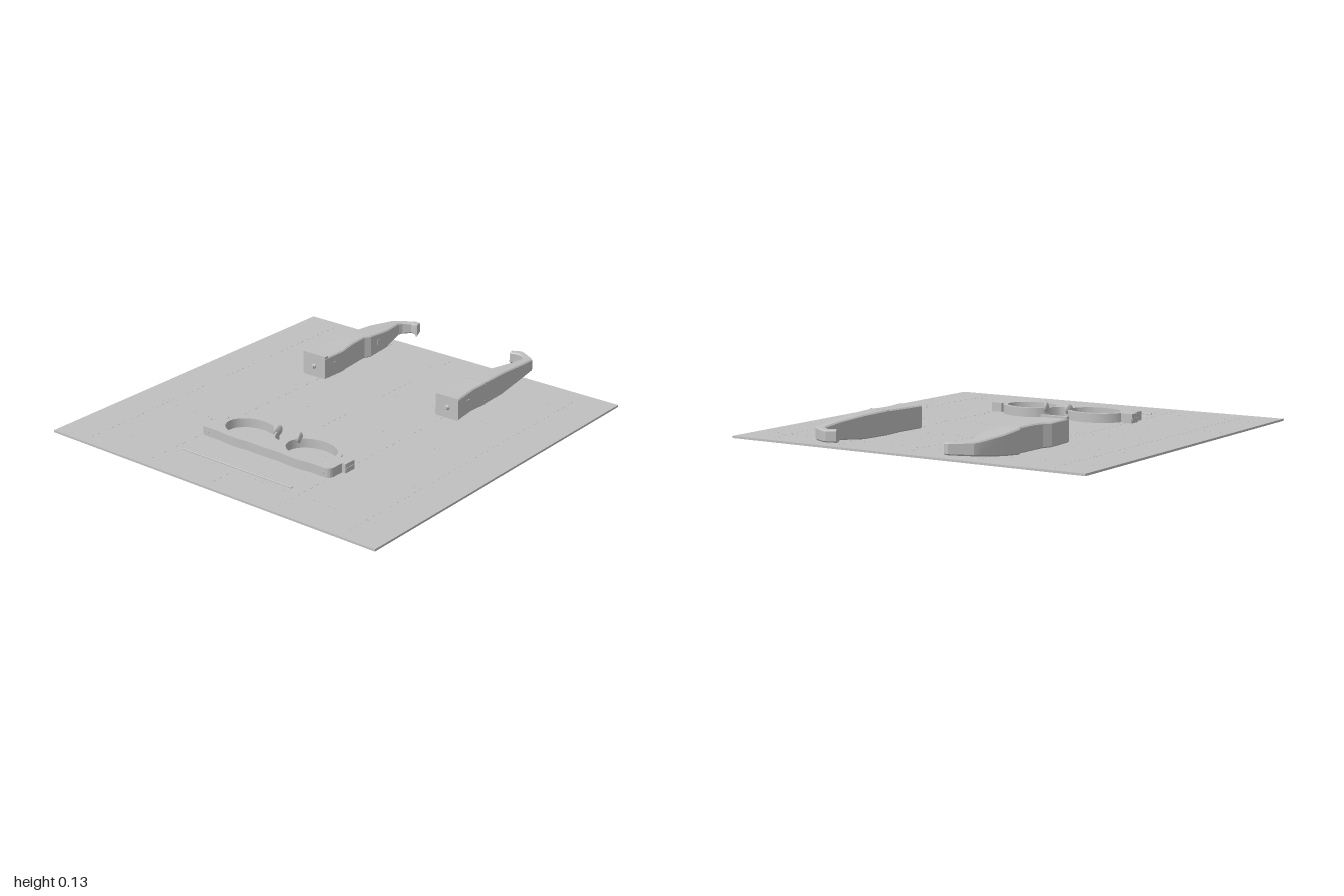
import * as THREE from 'three';
import { mergeGeometries, toCreasedNormals } from 'three/addons/utils/BufferGeometryUtils.js';

const grey = new THREE.MeshStandardMaterial({ color: 0xc0c0c0 });
grey.name = 'plain grey';

function add(parent, name, geometry, x = 0, y = 0, z = 0) {
  const mesh = new THREE.Mesh(geometry, grey);
  mesh.name = name;
  mesh.position.set(x, y, z);
  parent.add(mesh);
  return mesh;
}

// Height of the temple's lower and upper edge along its length: [z, bottom, top]
const heights = [
  [-0.25, 0.015, 0.125], [-0.31, 0.013, 0.132], [-0.41, 0.012, 0.124], [-0.48, 0.011, 0.129],
  [-0.63, 0.011, 0.128], [-0.7, 0.014, 0.122], [-0.93, 0.04, 0.102], [-1, 0.047, 0.099],
];
function heightAt(z) {
  let i = 0;
  while (i < heights.length - 2 && z < heights[i + 1][0]) i++;
  const [a, b] = [heights[i], heights[i + 1]];
  const t = THREE.MathUtils.clamp((z - a[0]) / (b[0] - a[0]), 0, 1);
  return [a[1] + t * (b[1] - a[1]), a[2] + t * (b[2] - a[2])];
}

// Chamfered box sections joined from the hinge end to the ear hook.
// Each station is the low-x edge and the high-x edge: [x, z, x, z]
function templeGeometry(stations) {
  const pos = [], index = [], n = 8;
  for (const [x0, z0, x1, z1] of stations) {
    const [lo, hi] = heightAt((z0 + z1) / 2);
    const c = 0.006, u = Math.min(0.2, c / Math.hypot(x1 - x0, z1 - z0));
    const ring = [[u, lo], [1 - u, lo], [1, lo + c], [1, hi - c], [1 - u, hi], [u, hi], [0, hi - c], [0, lo + c]];
    for (const [t, y] of ring) pos.push(x0 + t * (x1 - x0), y, z0 + t * (z1 - z0));
  }
  const last = (stations.length - 1) * n;
  for (let k = 0; k < last; k += n) {
    for (let i = 0; i < n; i++) {
      const j = (i + 1) % n;
      index.push(k + i, k + n + i, k + n + j, k + i, k + n + j, k + j);
    }
  }
  for (let i = 1; i < n - 1; i++) index.push(0, i, i + 1, last, last + i + 1, last + i);
  const g = new THREE.BufferGeometry();
  g.setAttribute('position', new THREE.Float32BufferAttribute(pos, 3));
  g.setIndex(index);
  return toCreasedNormals(g, 0.35);
}

function createTemple(name, stations, x) {
  const group = new THREE.Group();
  group.name = name;
  add(group, 'templeArm', templeGeometry(stations));
  // Hinge knob on the front end
  const peg = new THREE.CylinderGeometry(0.008, 0.008, 0.022, 16).rotateX(Math.PI / 2);
  add(group, 'hingePin', peg, x, 0.07, -0.247);
  add(group, 'hingeKnob', new THREE.SphereGeometry(0.013, 16, 10), x, 0.07, -0.254);
  return group;
}

// Half outline of the frame front, as seen from above with z reversed
function frameGeometry() {
  const s = new THREE.Shape();
  const p = (x, z) => [x, -z];
  s.moveTo(...p(0, 0.605));
  s.lineTo(...p(0.1, 0.602));
  s.quadraticCurveTo(...p(0.19, 0.615), ...p(0.27, 0.6));
  s.lineTo(...p(0.36, 0.6));
  s.quadraticCurveTo(...p(0.385, 0.597), ...p(0.385, 0.57));
  for (const [x, z] of [[0.385, 0.512], [0.405, 0.512], [0.405, 0.45], [0.345, 0.45], [0.34, 0.468]]) s.lineTo(x, -z);
  s.bezierCurveTo(...p(0.32, 0.4), ...p(0.25, 0.363), ...p(0.185, 0.363));
  s.bezierCurveTo(...p(0.12, 0.363), ...p(0.062, 0.395), ...p(0.055, 0.44));
  s.bezierCurveTo(...p(0.04, 0.48), ...p(0.025, 0.497), ...p(0, 0.5));
  const half = s.getPoints(14);
  const mirrored = half.slice(1, -1).reverse().map((v) => new THREE.Vector2(-v.x, v.y));
  const shape = new THREE.Shape([...half, ...mirrored]);
  // Oval lens openings
  for (const side of [-1, 1]) {
    const hole = new THREE.Path();
    hole.absellipse(side * 0.183, -0.481, 0.131, 0.095, 0, Math.PI * 2, true);
    shape.holes.push(hole);
  }
  const g = new THREE.ExtrudeGeometry(shape, { depth: 0.045, bevelEnabled: false, curveSegments: 48 });
  return toCreasedNormals(g.rotateX(-Math.PI / 2), 0.6);
}

// Dashed square grid laid on the board
function dashGeometry() {
  const dashes = [];
  for (let line = -2; line <= 2; line++) {
    for (let k = -21; k <= 21; k++) {
      const a = line * 0.38, b = k * 0.042;
      dashes.push(new THREE.BoxGeometry(0.02, 0.001, 0.003).translate(b, 0, a));
      dashes.push(new THREE.BoxGeometry(0.003, 0.001, 0.02).translate(a, 0, b));
    }
  }
  return mergeGeometries(dashes);
}

export function createModel() {
  const model = new THREE.Group();
  model.name = 'glassesKit';

  // Flat board
  add(model, 'board', new THREE.BoxGeometry(1.9, 0.01, 1.9), 0, 0.005, 0.05);
  add(model, 'boardGrid', dashGeometry(), 0, 0.0101, 0.05);
  const rod = new THREE.CylinderGeometry(0.005, 0.005, 0.65, 12).rotateZ(Math.PI / 2);
  add(model, 'thinRod', rod, -0.01, 0.012, 0.775);

  // Frame front lying on its face
  const frame = new THREE.Group();
  frame.name = 'frameFront';
  model.add(frame);
  add(frame, 'rims', frameGeometry(), 0, 0.01, 0);
  for (const side of [-1, 1]) {
    const pad = new THREE.SphereGeometry(1, 18, 12).scale(0.011, 0.026, 0.026);
    add(frame, 'nosePad', pad, side * 0.065, 0.057, 0.425).rotation.y = side * 0.25;
    const screw = new THREE.CylinderGeometry(0.008, 0.008, 0.006, 16).rotateX(Math.PI / 2);
    add(frame, 'hingeScrew', screw, side * 0.345, 0.03, 0.6);
    add(frame, 'hingeSlot', new THREE.BoxGeometry(0.006, 0.01, 0.05), side * 0.405, 0.03, 0.482);
  }

  // Wide temple with a raised end cap and buttons
  const right = createTemple('rightTemple', [
    [-0.478, -0.253, -0.34, -0.253], [-0.478, -0.4, -0.34, -0.4], [-0.457, -0.44, -0.349, -0.44],
    [-0.454, -0.5, -0.357, -0.5], [-0.45, -0.607, -0.367, -0.603], [-0.467, -0.64, -0.35, -0.632],
    [-0.467, -0.766, -0.35, -0.766], [-0.44, -0.91, -0.383, -0.91], [-0.425, -0.937, -0.375, -0.93],
    [-0.335, -1, -0.342, -0.958], [-0.31, -0.996, -0.32, -0.954], [-0.293, -0.946, -0.3, -0.944],
  ], -0.41);
  model.add(right);
  add(right, 'endCap', new THREE.BoxGeometry(0.138, 0.012, 0.022), -0.409, 0.128, -0.265);
  for (const [x, z] of [[-0.34, -0.33], [-0.351, -0.7]]) {
    add(right, 'sideButton', new THREE.BoxGeometry(0.005, 0.025, 0.025), x, 0.075, z);
  }

  // Slim temple with a seam ridge
  const left = createTemple('leftTemple', [
    [0.335, -0.253, 0.467, -0.253], [0.356, -0.4, 0.446, -0.4], [0.351, -0.5, 0.451, -0.5],
    [0.362, -0.66, 0.446, -0.66], [0.383, -0.82, 0.438, -0.81], [0.383, -0.915, 0.43, -0.935],
    [0.37, -0.935, 0.41, -0.953], [0.34, -0.956, 0.345, -0.995], [0.32, -0.956, 0.323, -1],
    [0.288, -0.945, 0.282, -0.977],
  ], 0.405);
  model.add(left);
  add(left, 'seamRidge', new THREE.BoxGeometry(0.1, 0.118, 0.008), 0.401, 0.071, -0.5);
  add(left, 'sideButton', new THREE.BoxGeometry(0.005, 0.025, 0.025), 0.454, 0.075, -0.35);

  return model;
}
